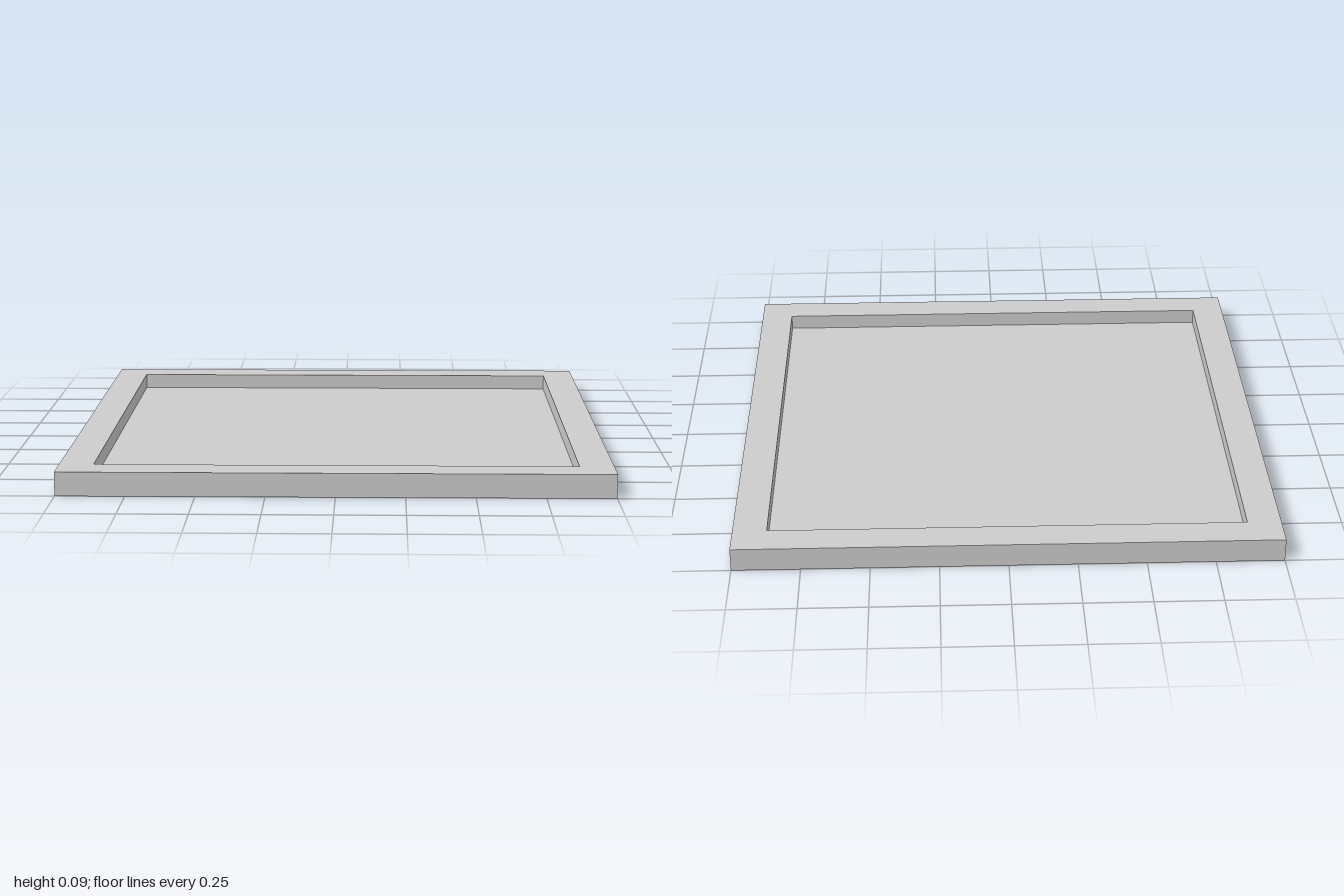
import * as THREE from 'three';

const HALF = 1;        // half the outer width
const INNER = 0.875;   // half the recess width
const HEIGHT = 0.088;
const FLOOR = 0.03;    // height of the recessed floor

export function createModel() {
  const group = new THREE.Group();
  group.name = 'squareTray';
  const material = new THREE.MeshStandardMaterial({ color: 0xcccccc, flatShading: true });

  const add = (name, geometry) => {
    const mesh = new THREE.Mesh(geometry, material);
    mesh.name = name;
    group.add(mesh);
    return mesh;
  };

  // Raised rim: outer wall, flat top and inner wall swept round four corners
  const profile = [[HALF, 0], [HALF, HEIGHT], [INNER, HEIGHT], [INNER, FLOOR]]
    .map(([r, y]) => new THREE.Vector2(r * Math.SQRT2, y));
  const rim = new THREE.LatheGeometry(profile, 4, Math.PI / 4).toNonIndexed();
  rim.computeVertexNormals();
  add('rim', rim);

  // Recessed floor inside the rim
  const floor = add('recessedFloor', new THREE.PlaneGeometry(2 * INNER, 2 * INNER).rotateX(-Math.PI / 2));
  floor.position.y = FLOOR;

  // Flat underside
  add('underside', new THREE.PlaneGeometry(2 * HALF, 2 * HALF).rotateX(Math.PI / 2));

  return group;
}
